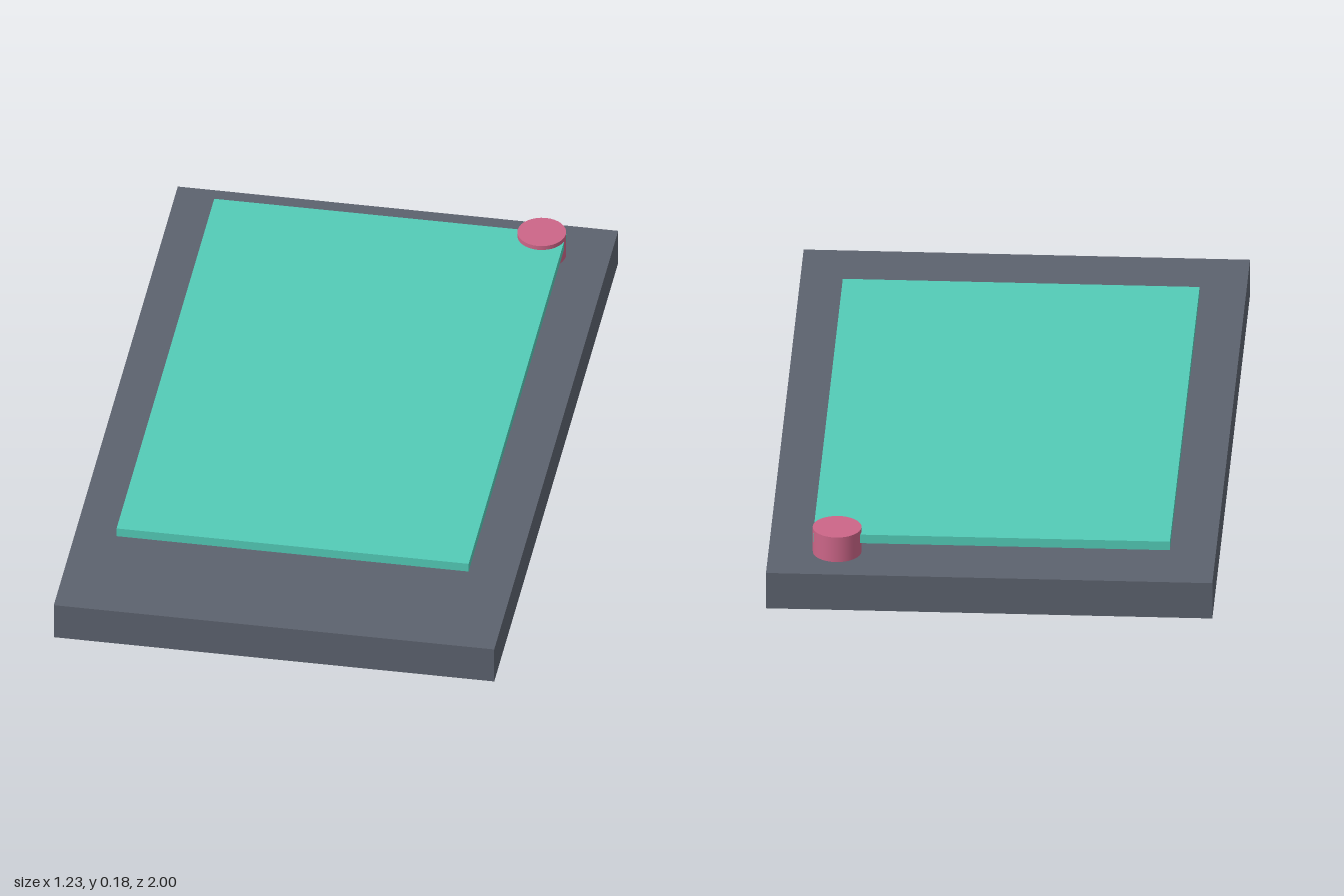
import * as THREE from 'three';

export function createModel() {
  const group = new THREE.Group();
  const material = (name, color) => {
    const m = new THREE.MeshStandardMaterial({ color });
    m.name = name;
    return m;
  };
  const add = (name, geometry, mat, x, y, z) => {
    const mesh = new THREE.Mesh(geometry, mat);
    mesh.name = name;
    mesh.position.set(x, y, z);
    group.add(mesh);
  };

  const slate = material('slate grey', 0x5c626e);
  const teal = material('teal', 0x53cbb7);
  const pink = material('rose pink', 0xcc6688);

  // Thick rectangular slab
  add('base', new THREE.BoxGeometry(1.226, 0.108, 2), slate, 0, 0.054, 0);

  // Thin panel held above the slab
  add('panel', new THREE.BoxGeometry(0.98, 0.026, 1.575), teal, 0, 0.157, -0.0875);

  // Round post through the panel's back left corner
  add('post', new THREE.CylinderGeometry(0.067, 0.067, 0.075, 32), pink, 0.425, 0.1455, -0.856);

  return group;
}
